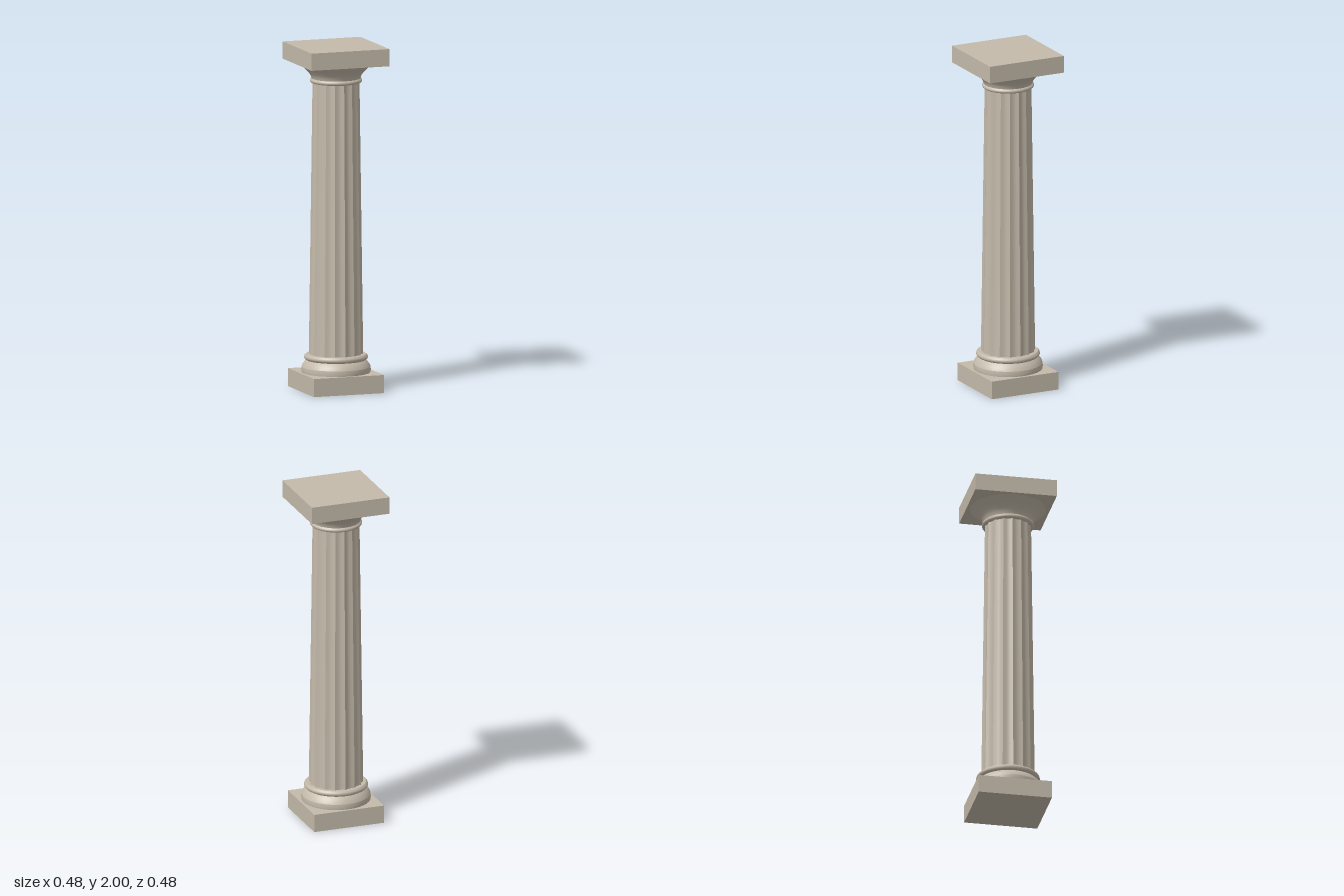
import * as THREE from 'three';

const stone = new THREE.MeshStandardMaterial({ color: 0xc4baaa, side: THREE.DoubleSide });

function add(parent, name, geometry, y = 0) {
  const mesh = new THREE.Mesh(geometry, stone);
  mesh.name = name;
  mesh.position.y = y;
  parent.add(mesh);
}

// Smooth ring turned from [radius, height] points
function turned(points) {
  return new THREE.LatheGeometry(points.map(([r, y]) => new THREE.Vector2(r, y)), 64);
}

// Tapered shaft of concave flutes meeting at sharp ridges
function flutedShaft(flutes, bottomR, topR, y0, y1, depth) {
  const steps = 8, positions = [], index = [];
  for (let f = 0; f < flutes; f++) {
    const base = positions.length / 3;
    for (let s = 0; s <= steps; s++) {
      const a = ((f + s / steps) / flutes) * Math.PI * 2;
      const k = 1 - depth * Math.sin((Math.PI * s) / steps);
      for (const [r, y] of [[bottomR, y0], [topR, y1]]) {
        positions.push(Math.sin(a) * r * k, y, Math.cos(a) * r * k);
      }
      if (s < steps) {
        const i = base + s * 2;
        index.push(i, i + 2, i + 1, i + 1, i + 2, i + 3);
      }
    }
  }
  const g = new THREE.BufferGeometry();
  g.setAttribute('position', new THREE.Float32BufferAttribute(positions, 3));
  g.setIndex(index);
  g.computeVertexNormals();
  return g;
}

export function createModel() {
  const column = new THREE.Group();
  column.name = 'column';

  // Square slabs at foot and head
  add(column, 'plinth', new THREE.BoxGeometry(0.428, 0.105, 0.428), 0.0525);
  add(column, 'abacus', new THREE.BoxGeometry(0.476, 0.1, 0.476), 1.95);

  // Base mouldings, split where the edges are sharp
  const base = new THREE.Group();
  base.name = 'base';
  column.add(base);
  add(base, 'lowerBand', turned([[0.198, 0.105], [0.2, 0.12], [0.198, 0.137]]));
  add(base, 'lowerTorus', turned([[0.198, 0.137], [0.191, 0.152], [0.18, 0.166], [0.169, 0.176]]));
  add(base, 'upperTorus', turned([[0.169, 0.176], [0.179, 0.182], [0.184, 0.192], [0.181, 0.202], [0.172, 0.21]]));
  add(base, 'baseTop', turned([[0.172, 0.21], [0.1, 0.21]]));

  add(column, 'shaft', flutedShaft(16, 0.156, 0.135, 0.21, 1.787, 0.06));

  // Capital: neck ring and flaring echinus
  const capital = new THREE.Group();
  capital.name = 'capital';
  column.add(capital);
  add(capital, 'neckUnderside', turned([[0.1, 1.786], [0.142, 1.786]]));
  add(capital, 'neckRing', turned([[0.142, 1.786], [0.148, 1.791], [0.15, 1.798], [0.148, 1.805], [0.141, 1.811]]));
  add(capital, 'echinus', turned([[0.141, 1.811], [0.145, 1.825], [0.155, 1.842], [0.172, 1.861], [0.194, 1.881], [0.218, 1.9]]));

  return column;
}
